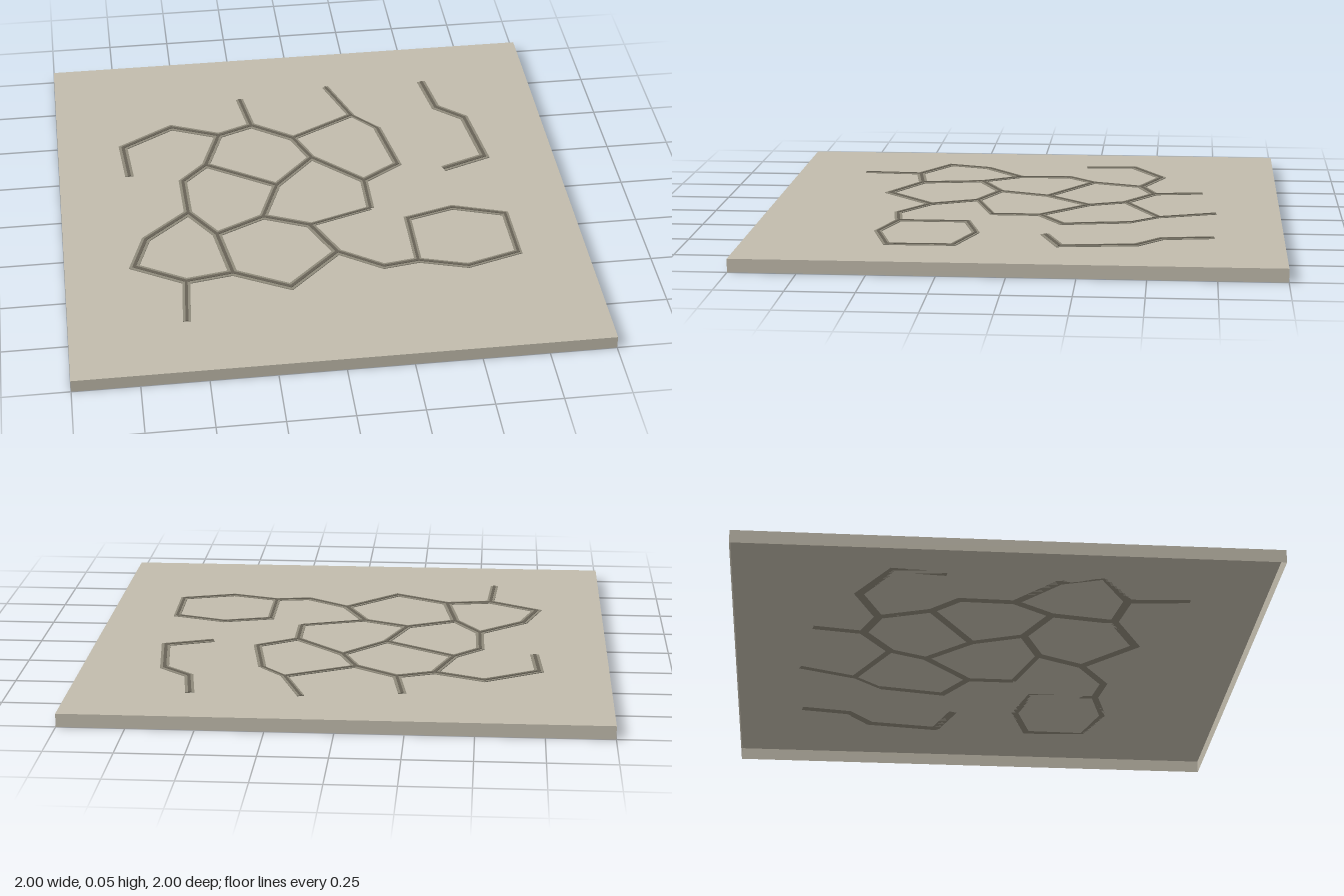
import * as THREE from 'three';

const TOP = 0.05;

// Crack junctions on the slab, as [x, z]
const P = {
  A: [-0.72, -0.21], B: [-0.735, -0.41], C: [-0.53, -0.53], D: [-0.34, -0.45], E: [-0.2, -0.505],
  E0: [-0.23, -0.7], F: [-0.04, -0.395], G: [0.22, -0.53], G0: [0.14, -0.75], H: [0.315, -0.425],
  I: [0.36, -0.165], J: [0.21, -0.07], K: [0.02, -0.25], L: [-0.14, -0.08], M: [-0.41, -0.25],
  N: [-0.51, -0.15], O: [-0.505, 0.06], Q: [-0.405, 0.21], R: [-0.215, 0.12], S: [-0.04, 0.195],
  T: [0.21, 0.115], U: [0.045, 0.375], V: [-0.155, 0.565], W: [-0.365, 0.455], X: [-0.545, 0.485],
  X0: [-0.56, 0.72], Y: [-0.735, 0.375], Z: [-0.68, 0.21],
  a: [0.21, 0.485], b: [0.345, 0.465], c: [0.345, 0.2], d: [0.53, 0.15], e: [0.73, 0.215],
  f: [0.735, 0.46], g: [0.53, 0.52],
  h: [0.55, -0.74], i: [0.58, -0.545], j: [0.685, -0.455], k: [0.72, -0.175], l: [0.54, -0.11],
};

// Each crack: path through the junctions, and its width
const CRACKS = [
  ['A B C D E F', 0.034], ['F G', 0.026], ['G H', 0.018], ['H I J T', 0.03], ['T S', 0.022],
  ['S R Q O N M D', 0.032], ['M L K F', 0.03], ['K J', 0.03], ['L R', 0.03], ['S U V W Q', 0.034],
  ['W X Y Z O', 0.034], ['X X0', 0.03], ['E0 E', 0.03], ['G0 G', 0.026],
  ['U a b', 0.03], ['b c d e f g b', 0.027], ['h i j k l', 0.034],
];

// Mitred flat strip along a path, with its upper face at height y
function strip(path, width, y, depth) {
  const pts = path.split(' ').map((n) => new THREE.Vector2(...P[n]));
  const normal = (p, q) => new THREE.Vector2(p.y - q.y, q.x - p.x).normalize();
  const left = [], right = [];
  pts.forEach((p, n) => {
    const n1 = n > 0 ? normal(pts[n - 1], p) : normal(p, pts[n + 1]);
    const n2 = n < pts.length - 1 ? normal(p, pts[n + 1]) : n1;
    const mitre = n1.clone().add(n2).normalize();
    mitre.multiplyScalar(width / 2 / mitre.dot(n1));
    left.push(p.clone().add(mitre));
    right.unshift(p.clone().sub(mitre));
  });
  const geo = new THREE.ExtrudeGeometry(new THREE.Shape([...left, ...right]), { depth, bevelEnabled: false });
  return geo.rotateX(Math.PI / 2).translate(0, y, 0);
}

export function createModel() {
  const model = new THREE.Group();
  model.name = 'crackedSlab';

  const stone = new THREE.MeshStandardMaterial({ name: 'stone', color: 0xc2bcad, side: THREE.DoubleSide });
  const edge = new THREE.MeshStandardMaterial({ name: 'crackEdge', color: 0x8f8a7b });
  const core = new THREE.MeshStandardMaterial({ name: 'crackCore', color: 0x676256 });

  // Slab shell, open underneath
  const box = new THREE.BoxGeometry(2, TOP, 2).translate(0, TOP / 2, 0);
  const index = Array.from(box.index.array);
  index.splice(18, 6);
  box.setIndex(index);
  box.clearGroups();
  const slab = new THREE.Mesh(box, stone);
  slab.name = 'slab';
  model.add(slab);

  // Cracks: a wide edge strip with a narrow dark core on top
  CRACKS.forEach(([path, width], n) => {
    const crack = new THREE.Group();
    crack.name = 'crack' + (n + 1);
    const border = new THREE.Mesh(strip(path, width, TOP + 0.003, 0.003), edge);
    border.name = 'crackEdge';
    const line = new THREE.Mesh(strip(path, width * 0.36, TOP + 0.005, 0.003), core);
    line.name = 'crackCore';
    crack.add(border, line);
    model.add(crack);
  });

  return model;
}
